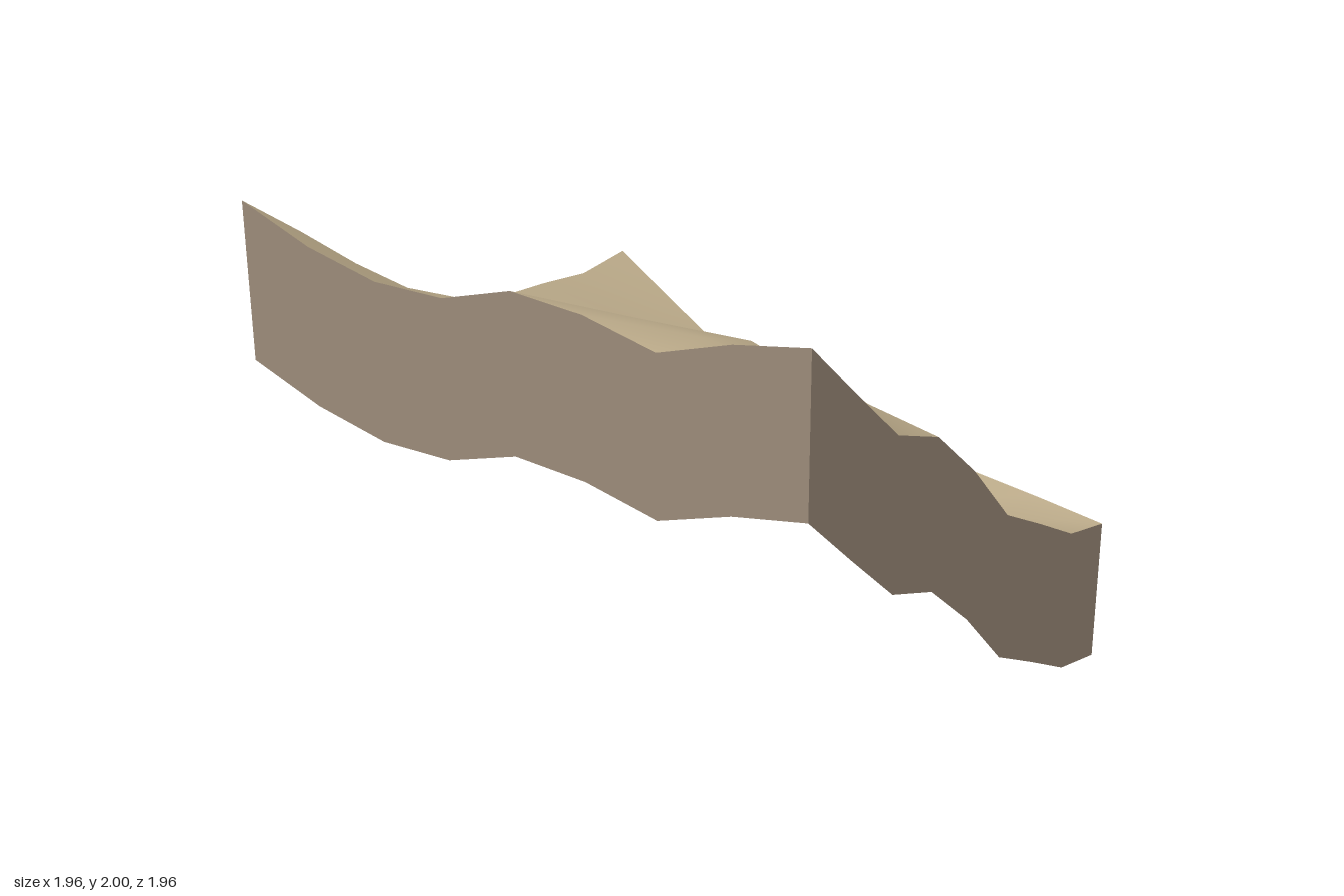
import * as THREE from 'three';
import { toCreasedNormals } from 'three/addons/utils/BufferGeometryUtils.js';

const HALF = 0.98, N = 8, STEP = (2 * HALF) / N, DEPTH = 0.525;

// Ground heights: rows run back to front (z), columns from x = -0.98 to 0.98
const HEIGHTS = [
  [1.06, 0.90, 0.74, 0.73, 0.75, 0.655, 0.585, 0.56, 0.53],
  [1.065, 0.93, 0.84, 0.80, 0.81, 0.685, 0.615, 0.60, 0.61],
  [1.12, 1.01, 0.95, 0.91, 0.755, 0.69, 0.69, 0.72, 0.765],
  [1.165, 1.06, 1.0, 0.93, 0.83, 0.76, 0.78, 0.84, 0.915],
  [1.26, 1.14, 1.07, 1.04, 1.02, 1.0, 1.03, 1.09, 1.185],
  [1.39, 1.31, 1.25, 1.24, 1.27, 1.30, 1.34, 1.38, 1.41],
  [1.57, 1.50, 1.45, 1.44, 1.51, 1.61, 1.69, 1.62, 1.525],
  [1.77, 1.68, 1.63, 1.64, 1.74, 1.80, 1.80, 1.79, 1.76],
  [1.96, 1.87, 1.82, 1.83, 1.915, 1.905, 1.855, 1.945, 2.0],
];

const mat = (name, color, side = THREE.FrontSide) => {
  const m = new THREE.MeshStandardMaterial({ color, side });
  m.name = name;
  return m;
};

const point = (i, j) => [-HALF + i * STEP, HEIGHTS[j][i], -HALF + j * STEP];

function bufferFrom(points) {
  const g = new THREE.BufferGeometry();
  g.setAttribute('position', new THREE.Float32BufferAttribute(points.flat(), 3));
  return g;
}

// Steep triangles are bare rock, keyed as row:column plus a (rear half) or b (front half)
const ROCK = new Set(['4:4b', '4:5a', '4:5b', '4:6a', '4:7a', '5:3b', '5:4b', '5:5a', '5:5b', '5:6a']);

function makeGround(sand, rock) {
  const sandPts = [], rockPts = [];
  for (let j = 0; j < N; j++) {
    for (let i = 0; i < N; i++) {
      const a = point(i, j), b = point(i + 1, j), c = point(i, j + 1), d = point(i + 1, j + 1);
      (ROCK.has(`${j}:${i}a`) ? rockPts : sandPts).push(a, c, b);
      (ROCK.has(`${j}:${i}b`) ? rockPts : sandPts).push(b, c, d);
    }
  }
  const g = bufferFrom([...sandPts, ...rockPts]);
  g.addGroup(0, sandPts.length, 0);
  g.addGroup(sandPts.length, rockPts.length, 1);
  const mesh = new THREE.Mesh(toCreasedNormals(g, 0.45), [sand, rock]);
  mesh.name = 'hillside';
  return mesh;
}

// Skirt of constant depth around the ground, open underneath
function makeSkirt(material) {
  const loop = [];
  for (let k = 0; k < N; k++) loop.push(point(k, N));
  for (let k = 0; k < N; k++) loop.push(point(N, N - k));
  for (let k = 0; k < N; k++) loop.push(point(N - k, 0));
  for (let k = 0; k < N; k++) loop.push(point(0, k));
  const low = ([x, y, z]) => [x, y - DEPTH, z];
  const pts = [];
  loop.forEach((p, k) => {
    const q = loop[(k + 1) % loop.length];
    pts.push(low(p), low(q), q, low(p), q, p);
  });
  const g = bufferFrom(pts);
  g.computeVertexNormals();
  const mesh = new THREE.Mesh(g, material);
  mesh.name = 'cutEarthWalls';
  return mesh;
}

// Tower with a parapet, sunken roof, roof hut and rows of window strips
function makeTower(name, x, z, bottom, top, m) {
  const W = 0.115, D = 0.152, RIM = 0.015, SUNK = 0.015;
  const tower = new THREE.Group();
  tower.name = name;
  const box = (part, w, h, d, px, py, pz, material) => {
    const mesh = new THREE.Mesh(new THREE.BoxGeometry(w, h, d), material);
    mesh.name = part;
    mesh.position.set(px, py, pz);
    tower.add(mesh);
  };
  const rimTop = top - 0.01, roof = rimTop - SUNK;
  box('towerBody', W, roof - bottom, D, 0, (roof + bottom) / 2, 0, m.concrete);
  box('roofDeck', W - 2 * RIM, 0.004, D - 2 * RIM, 0, roof + 0.002, 0, m.roof);
  box('roofHut', 0.04, top - roof, 0.07, 0, (top + roof) / 2, 0, m.concrete);
  for (const s of [-1, 1]) {
    box('parapetSide', RIM, SUNK, D, s * (W - RIM) / 2, roof + SUNK / 2, 0, m.concrete);
    box('parapetEnd', W - 2 * RIM, SUNK, RIM, 0, roof + SUNK / 2, s * (D - RIM) / 2, m.concrete);
  }
  for (let y = rimTop - 0.065; y > bottom + 0.01; y -= 0.055) {
    for (const s of [-1, 1]) {
      for (let k = -1.5; k <= 1.5; k++) {
        box('sideWindow', 0.002, 0.006, 0.024, s * W / 2, y, k * 0.034, m.glass);
      }
      for (let k = -1; k <= 1; k++) {
        box('endWindow', 0.024, 0.006, 0.002, k * 0.034, y, s * D / 2, m.glass);
      }
    }
  }
  tower.position.set(x, 0, z);
  return tower;
}

export function createModel() {
  const model = new THREE.Group();
  model.name = 'hillsideWithTowers';
  const sand = mat('sand', 0xc8b693, THREE.DoubleSide);
  const rock = mat('rock', 0x9c8c7a, THREE.DoubleSide);
  const m = {
    concrete: mat('concrete', 0x7f878e),
    roof: mat('darkRoof', 0x4a4f55),
    glass: mat('paleWindow', 0xc4c3b4),
  };
  model.add(makeGround(sand, rock), makeSkirt(rock));
  model.add(makeTower('tallTower', 0.405, -0.165, 0.84, 1.155, m));
  model.add(makeTower('shortTower', 0.08, -0.41, 0.715, 0.895, m));
  return model;
}
